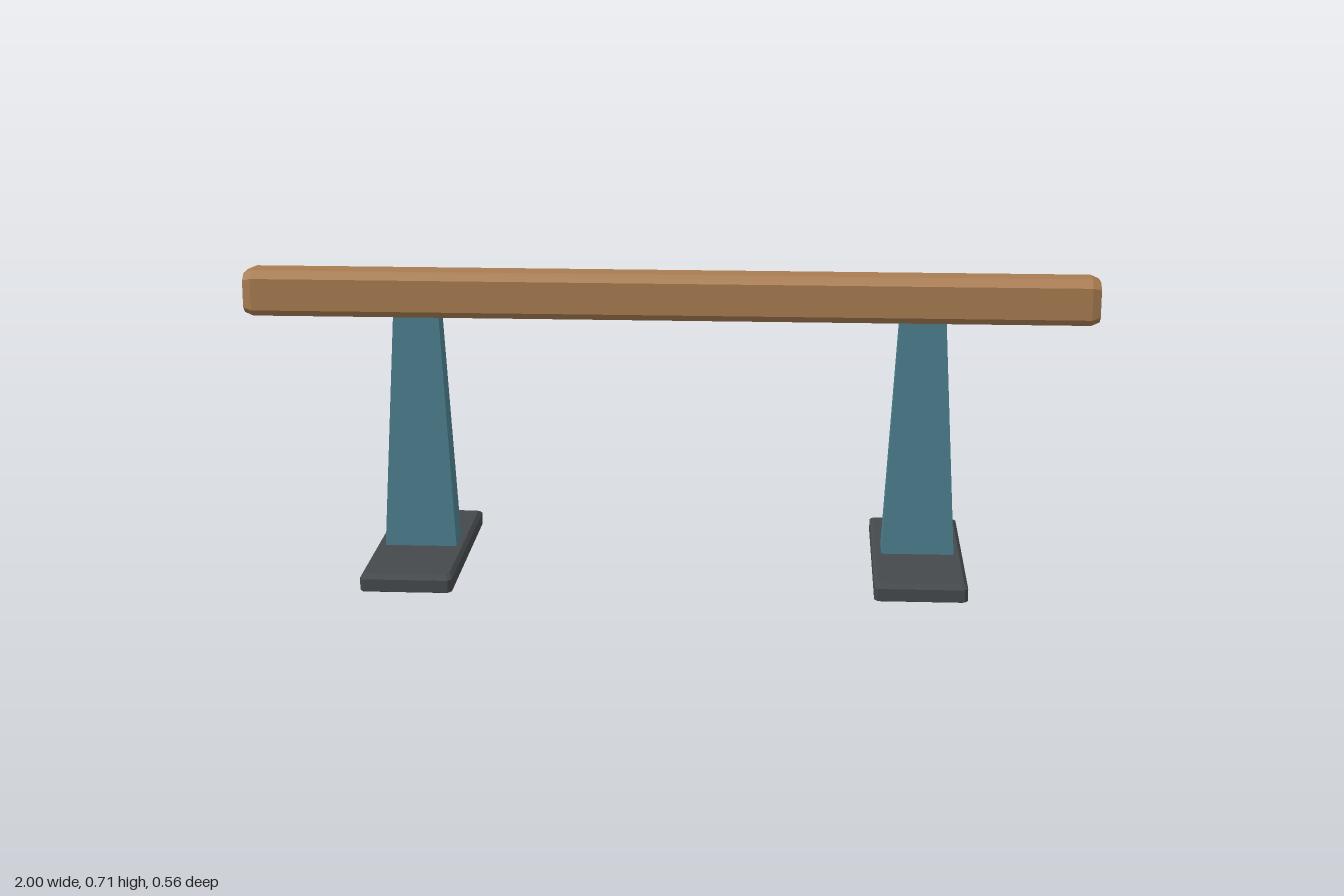
import * as THREE from 'three';
import { ConvexGeometry } from 'three/addons/geometries/ConvexGeometry.js';

const paint = (color) => new THREE.MeshStandardMaterial({ color, flatShading: true });

// Octagonal prism along y: half sizes a (x) and b (z), corner cuts ca and cb,
// with both end caps shrunk by `cap` over a bevel of height `bevel`.
function chamferedPrism(a, b, ca, cb, half, bevel, cap) {
  const points = [];
  for (const [y, s] of [[half, cap], [half - bevel, 1], [bevel - half, 1], [-half, cap]]) {
    for (const sx of [-1, 1]) {
      for (const sz of [-1, 1]) {
        points.push(new THREE.Vector3(sx * a * s, y, sz * (b - cb) * s));
        points.push(new THREE.Vector3(sx * (a - ca) * s, y, sz * b * s));
      }
    }
  }
  return new ConvexGeometry(points);
}

// Box that narrows linearly towards its top, standing on y = 0
function taperedPost(bottomX, bottomZ, topX, topZ, height) {
  const geometry = new THREE.BoxGeometry(2, height, 2).translate(0, height / 2, 0);
  const p = geometry.attributes.position;
  for (let i = 0; i < p.count; i++) {
    const top = p.getY(i) > height / 2;
    p.setX(i, p.getX(i) * (top ? topX : bottomX));
    p.setZ(i, p.getZ(i) * (top ? topZ : bottomZ));
  }
  geometry.computeVertexNormals();
  return geometry;
}

export function createModel() {
  const model = new THREE.Group();
  model.name = 'balanceBeam';
  const wood = paint(0xa87c50);
  const teal = paint(0x4c7f8f);
  const rubber = paint(0x45494c);

  // Long chamfered beam laid along x
  const beam = new THREE.Mesh(chamferedPrism(0.0545, 0.052, 0.017, 0.022, 1, 0.02, 0.86), wood);
  beam.name = 'beam';
  beam.rotation.z = Math.PI / 2;
  beam.position.y = 0.6575;
  model.add(beam);

  // Two mirrored supports: tapered post on a flat foot
  const footGeometry = chamferedPrism(0.107, 0.28, 0.008, 0.013, 0.0225, 0.008, 0.92);
  const postGeometry = taperedPost(0.086, 0.04, 0.054, 0.03, 0.565);
  for (const [side, x] of [['left', 0.594], ['right', -0.594]]) {
    const support = new THREE.Group();
    support.name = side + 'Support';
    support.position.x = x;
    const foot = new THREE.Mesh(footGeometry, rubber);
    foot.name = side + 'Foot';
    foot.position.y = 0.0225;
    const post = new THREE.Mesh(postGeometry, teal);
    post.name = side + 'Post';
    post.position.y = 0.04;
    support.add(foot, post);
    model.add(support);
  }
  return model;
}
